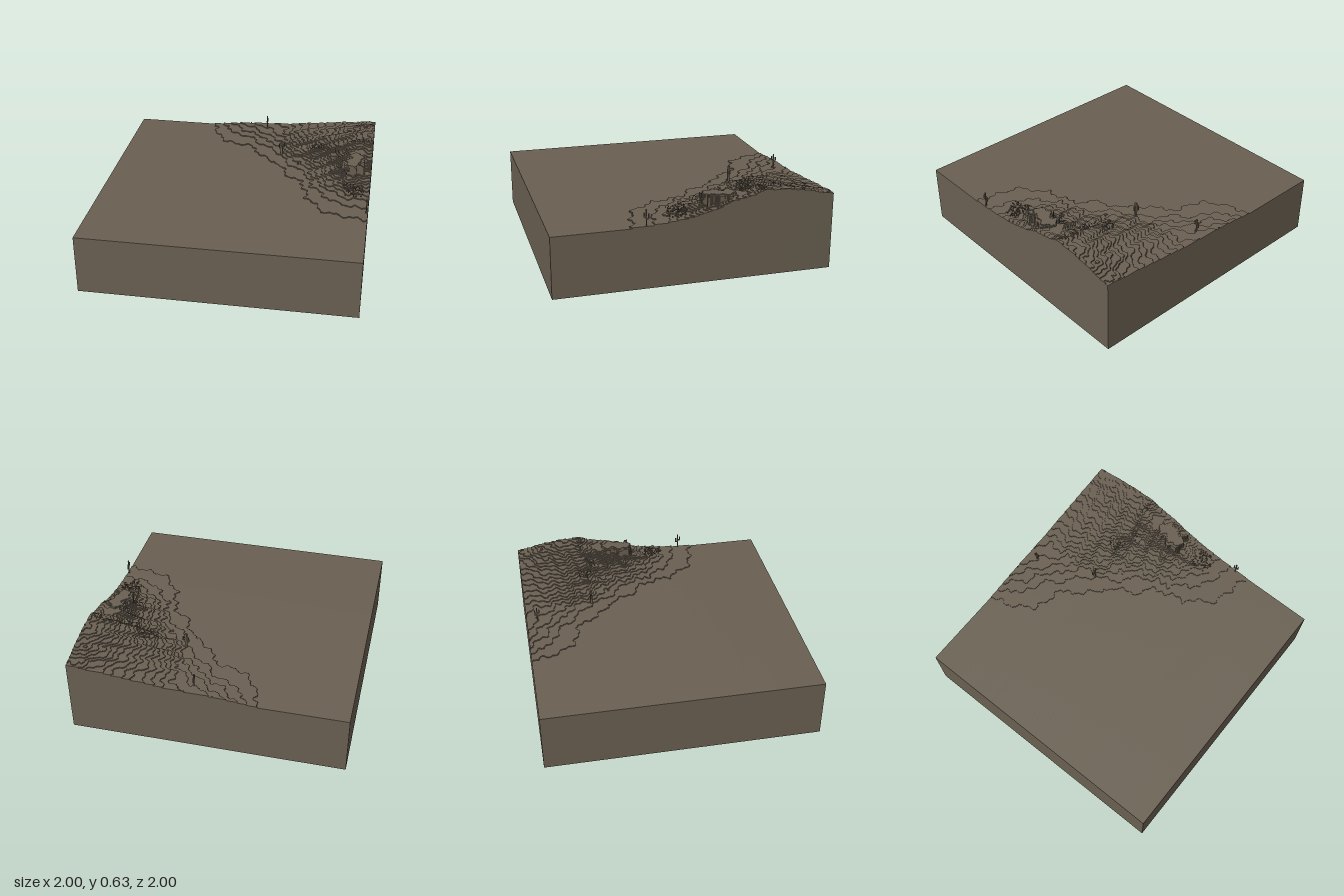
import * as THREE from 'three';
import { mergeGeometries } from 'three/addons/utils/BufferGeometryUtils.js';

const N = 256, U = 2 / N, BASE = 57; // cells per side, cell size, plain height in cells

// Hill heights above the plain, in hundredths, on a coarse grid
const COLS = [-0.4, 0, 0.25, 0.5, 0.7, 0.85, 1];
const ROWS = [
  [-1, 0, 4, 4.5, 7, 9, 10.5, 12],
  [-0.8, 0, 1.6, 4, 8, 11, 14, 16],
  [-0.62, 0, 0.4, 2, 8, 12.5, 16, 18.5],
  [-0.5, 0, 0, 1, 6, 12, 16, 18.5],
  [-0.38, 0, 0, 0.5, 3, 8, 14, 15],
  [-0.28, 0, 0, 0, 2, 6, 14, 13],
  [-0.17, 0, 0, 0, 1, 5, 13, 8],
  [-0.08, 0, 0, 0, 0.5, 4, 8, 6],
  [0.05, 0, 0, 0, 0.3, 2, 4, 3.5],
  [0.2, 0, 0, 0, 0.1, 1, 1.6, 1.6],
  [0.42, 0, 0, 0, 0, 0.2, 0.4, 0.5],
  [0.5, 0, 0, 0, 0, 0, 0, 0],
];

function span(list, v) {
  let i = 0;
  while (i < list.length - 2 && v > list[i + 1]) i++;
  return [i, THREE.MathUtils.clamp((v - list[i]) / (list[i + 1] - list[i]), 0, 1)];
}

// Height of a cell, as a whole number of cells
function heightAt(i, j) {
  if (i < 0 || j < 0 || i >= N || j >= N) return 0;
  const x = (i + 0.5) * U - 1, z = (j + 0.5) * U - 1;
  const wx = x + 0.018 * Math.sin(z * 37 + 1) + 0.012 * Math.sin(z * 83 + x * 21);
  const wz = z + 0.015 * Math.sin(x * 41 + 2) + 0.01 * Math.sin(x * 90 - z * 17);
  const [c, s] = span(COLS, wx), [r, t] = span(ROWS.map((q) => q[0]), wz);
  const at = (a, b) => ROWS[a][b + 1];
  let h = THREE.MathUtils.lerp(
    THREE.MathUtils.lerp(at(r, c), at(r, c + 1), s),
    THREE.MathUtils.lerp(at(r + 1, c), at(r + 1, c + 1), s), t);
  // steep rock outcrop
  const dx = (wx - 0.87) / 0.07, dz = (wz + 0.2) / 0.11;
  if (dx ** 4 + dz ** 4 < 1) h = Math.max(h, 15.6 - 0.8 * dx * dx);
  return BASE + Math.min(24, Math.round(h * 0.01 / U));
}

// Stepped land block: tops in runs, walls wherever neighbouring heights differ
function landGeometry() {
  const H = [];
  for (let j = 0; j < N; j++) H.push(Array.from({ length: N }, (_, i) => heightAt(i, j)));
  const h = (i, j) => (H[j] && H[j][i]) || 0;
  const pos = [];
  const quad = (a, b, c, d, flip) => {
    for (const p of flip ? [a, c, b, a, d, c] : [a, b, c, a, c, d]) {
      pos.push(p[0] * U - 1, p[1] * U, p[2] * U - 1);
    }
  };
  for (let j = 0; j < N; j++) {
    for (let i = 0, start = 0; i < N; i++) {
      const y = h(i, j);
      if (h(i + 1, j) === y) continue;
      quad([start, y, j + 1], [i + 1, y, j + 1], [i + 1, y, j], [start, y, j]);
      start = i + 1;
    }
  }
  for (let k = 0; k < N; k++) {
    for (let e = 0; e <= N; e++) {
      let a = h(e - 1, k), b = h(e, k);
      let lo = Math.min(a, b), hi = Math.max(a, b);
      if (a !== b) quad([e, lo, k + 1], [e, lo, k], [e, hi, k], [e, hi, k + 1], a < b);
      a = h(k, e - 1); b = h(k, e);
      lo = Math.min(a, b); hi = Math.max(a, b);
      if (a !== b) quad([k, lo, e], [k + 1, lo, e], [k + 1, hi, e], [k, hi, e], a < b);
    }
  }
  quad([0, 0, 0], [N, 0, 0], [N, 0, N], [0, 0, N]);
  const g = new THREE.BufferGeometry();
  g.setAttribute('position', new THREE.Float32BufferAttribute(pos, 3));
  g.computeVertexNormals();
  return g;
}

// Box given by its lowest corner and size, in cells
function cells(i, y, j, w, h, d) {
  return new THREE.BoxGeometry(w * U, h * U, d * U)
    .translate((i + w / 2) * U - 1, (y + h / 2) * U, (j + d / 2) * U - 1);
}

const toCell = (v) => Math.floor((v + 1) / U);

// Cactus with two bent arms along x or z
function cactusGeometry(x, z, height, thick, alongX) {
  const i = toCell(x), j = toCell(z), y = heightAt(i, j);
  const parts = [cells(i, y, j, thick, height, thick)];
  for (const [side, low, rise] of [[-1, 0.4, 4], [1, 0.55, 3]]) {
    const b = y + Math.round(height * low);
    const near = side < 0 ? -2 : thick, tip = side < 0 ? -2 : thick + 1;
    parts.push(alongX ? cells(i + near, b, j, 2, 1, 1) : cells(i, b, j + near, 1, 1, 2));
    parts.push(alongX ? cells(i + tip, b + 1, j, 1, rise, 1) : cells(i, b + 1, j + tip, 1, rise, 1));
  }
  return mergeGeometries(parts);
}

let seed = 7;
const rand = () => (seed = (seed * 16807) % 2147483647) / 2147483647;

// Bush: loose cloud of single cells over a short stem
function bushGeometry(x, z, radius, height, count) {
  const i0 = toCell(x), j0 = toCell(z), y0 = heightAt(i0, j0);
  const parts = [cells(i0, y0, j0, 1, Math.max(1, height - 1), 1)];
  for (let n = 0; n < count; n++) {
    const a = rand() * Math.PI * 2, r = Math.sqrt(rand()) * radius;
    const i = toCell(Math.min(0.99, x + r * Math.cos(a))), j = toCell(z + r * Math.sin(a));
    parts.push(cells(i, Math.max(heightAt(i, j), y0 + Math.floor(rand() * height)), j, 1, 1, 1));
  }
  return mergeGeometries(parts);
}

export function createModel() {
  const model = new THREE.Group();
  const earth = new THREE.MeshStandardMaterial({ color: 0x6a6052 });
  earth.name = 'earth brown';
  const add = (name, geometry) => {
    const mesh = new THREE.Mesh(geometry, earth);
    mesh.name = name;
    model.add(mesh);
  };
  add('land', landGeometry());

  // x, z, height, thickness, arms along x
  [[0.1, -0.92, 13, 1, false], [0.27, -0.49, 15, 2, true],
    [0.985, 0.35, 15, 1, false], [0.815, -0.08, 9, 1, true]]
    .forEach((c) => add('cactus', cactusGeometry(...c)));

  // x, z, radius, height, cell count
  [[0.88, 0.1, 0.08, 6, 75], [0.57, -0.5, 0.06, 3, 28], [0.71, -0.43, 0.05, 3, 22],
    [0.85, -0.5, 0.04, 2, 6], [0.95, -0.48, 0.04, 2, 8]]
    .forEach((b) => add('bush', bushGeometry(...b)));
  return model;
}
